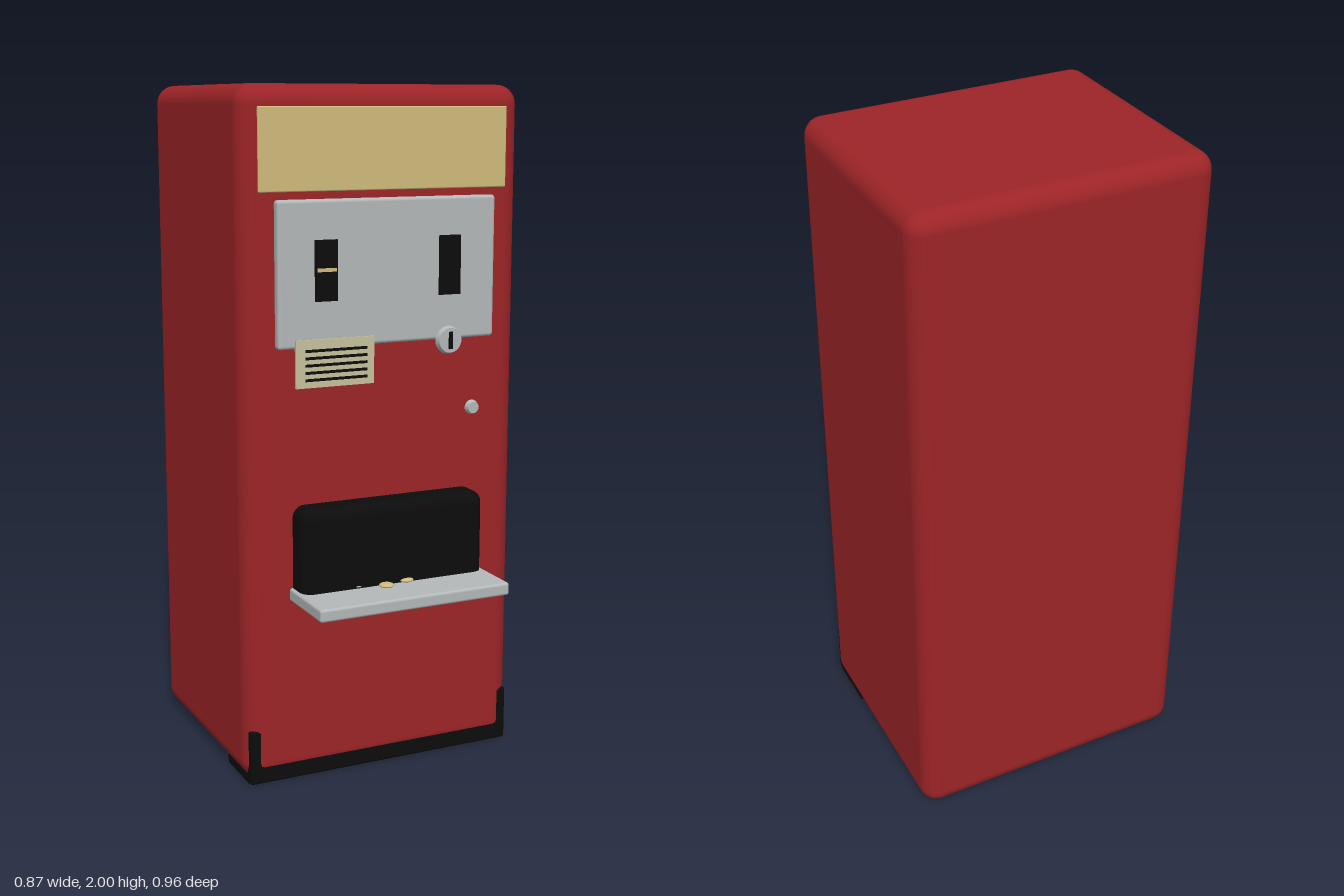
import * as THREE from 'three';
import { RoundedBoxGeometry } from 'three/addons/geometries/RoundedBoxGeometry.js';

const mat = (name, color) => {
  const m = new THREE.MeshStandardMaterial({ color });
  m.name = name;
  return m;
};

export function createModel() {
  const red = mat('cabinet red', 0x9c2427);
  const black = mat('black', 0x0c0c0c);
  const silver = mat('silver', 0xb4b8b9);
  const tan = mat('tan', 0xd0bb7c);
  const cream = mat('cream', 0xc6c19c);

  const group = new THREE.Group();
  const add = (name, geometry, material, x, y, z) => {
    const mesh = new THREE.Mesh(geometry, material);
    mesh.name = name;
    mesh.position.set(x, y, z);
    group.add(mesh);
    return mesh;
  };
  // Box given by its extents; a radius rounds its edges
  const box = (name, material, [x0, x1], [y0, y1], [z0, z1], radius = 0, segments = 3) => {
    const size = [x1 - x0, y1 - y0, z1 - z0];
    const geometry = radius
      ? new RoundedBoxGeometry(...size, segments, radius)
      : new THREE.BoxGeometry(...size);
    return add(name, geometry, material, (x0 + x1) / 2, (y0 + y1) / 2, (z0 + z1) / 2);
  };

  // Cabinet
  box('cabinet', red, [-0.437, 0.437], [0.008, 2], [-0.478, 0.26], 0.055, 6);

  // Kick plate, showing past the rounded cabinet edges, with side returns
  box('kickPlate', black, [-0.425, 0.425], [0, 0.165], [0.225, 0.2585], 0.008, 2);
  for (const s of [-1, 1]) {
    const name = s < 0 ? 'rightKickReturn' : 'leftKickReturn';
    box(name, black, [s * 0.405 - 0.02, s * 0.405 + 0.02], [0, 0.025], [0.07, 0.24]);
  }

  // Sign and control panel
  box('signPanel', tan, [-0.385, 0.385], [1.71, 1.94], [0.25, 0.265], 0.004, 2);
  box('controlPanel', silver, [-0.34, 0.34], [1.28, 1.69], [0.255, 0.287], 0.01);

  // Slots in the control panel
  box('billSlot', black, [-0.23, -0.162], [1.41, 1.58], [0.285, 0.293]);
  box('billStrip', tan, [-0.225, -0.167], [1.492, 1.502], [0.29, 0.297]);
  box('coinSlot', black, [0.157, 0.225], [1.41, 1.58], [0.285, 0.293]);

  // Louvred plate
  box('ventPlate', cream, [-0.29, -0.05], [1.17, 1.305], [0.284, 0.293]);
  for (let i = 0; i < 5; i++) {
    const y = 1.188 + i * 0.0205;
    box('ventSlit', black, [-0.262, -0.072], [y, y + 0.008], [0.29, 0.2945]);
  }

  // Lock and button
  const lock = new THREE.CylinderGeometry(0.036, 0.041, 0.016, 32);
  lock.rotateX(Math.PI / 2);
  add('lock', lock, silver, 0.19, 1.278, 0.294);
  box('keyhole', black, [0.184, 0.196], [1.253, 1.303], [0.3, 0.306]);
  const button = new THREE.CylinderGeometry(0.017, 0.022, 0.014, 24);
  button.rotateX(Math.PI / 2);
  add('button', button, silver, 0.272, 1.073, 0.291);

  // Delivery bay and tray
  box('deliveryBay', black, [-0.29, 0.29], [0.55, 0.828], [0.22, 0.342], 0.035, 5);
  box('tray', silver, [-0.3, 0.3], [0.547, 0.585], [0.24, 0.478], 0.008);

  // Coins lying on the tray
  const coin = new THREE.SphereGeometry(0.022, 24, 12).scale(1, 0.3, 1);
  add('coin', coin, tan, -0.04, 0.59, 0.36);
  add('coin', coin, tan, 0.034, 0.59, 0.336);
  add('coin', coin, silver, -0.12, 0.59, 0.322);

  return group;
}
